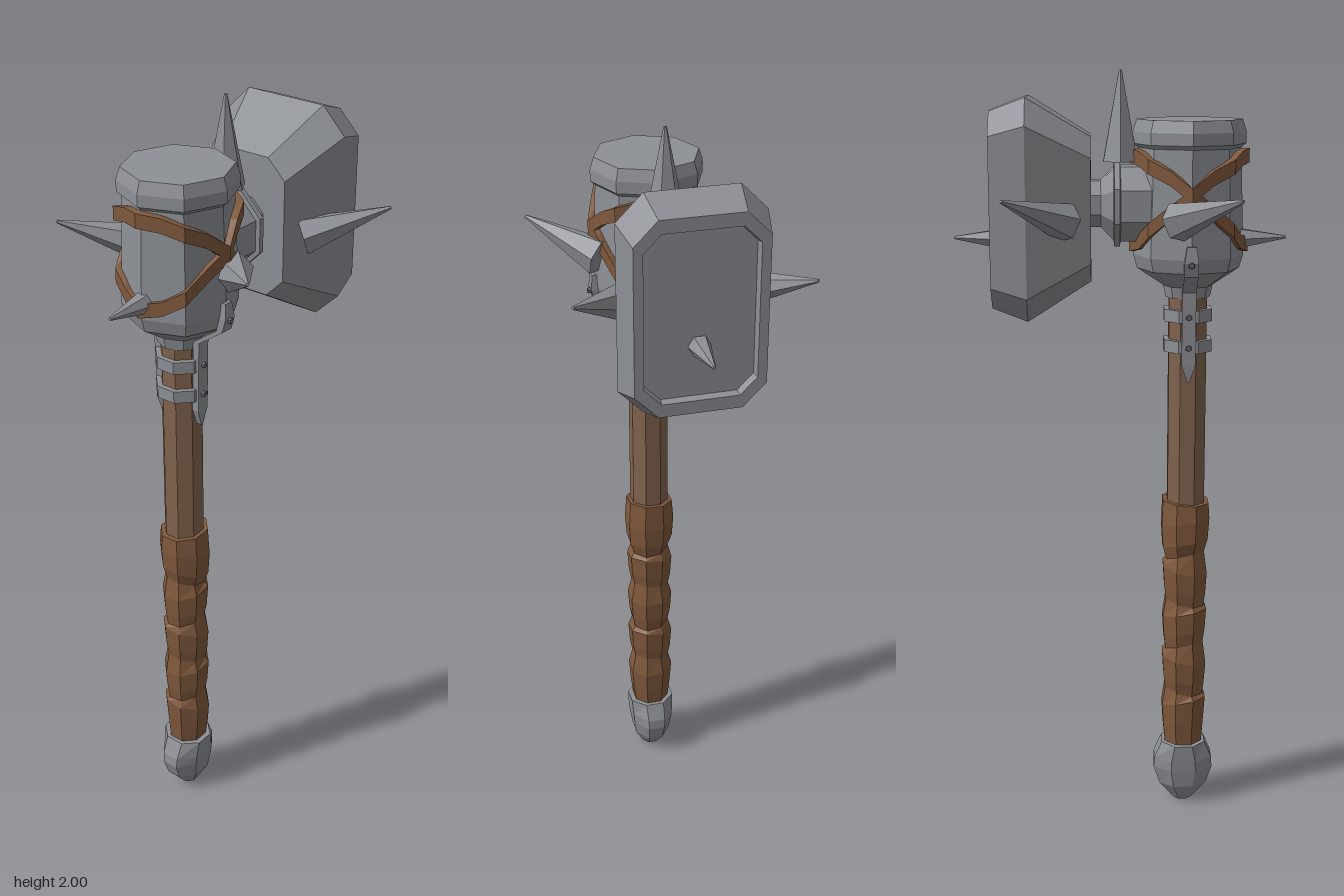
import * as THREE from 'three';

const CX = -0.175; // axis of the handle and head core
const paint = (name, color) => {
  const m = new THREE.MeshStandardMaterial({ color });
  m.name = name;
  return m;
};

// Faceted skin over equal-length rings of [x, y, z], with optional end caps
function loft(rings, caps = true) {
  const pos = [];
  const n = rings[0].length;
  const tri = (...pts) => pts.forEach((p) => pos.push(...p));
  for (let i = 0; i < rings.length - 1; i++) {
    for (let j = 0; j < n; j++) {
      const k = (j + 1) % n;
      const a = rings[i][j], b = rings[i][k], c = rings[i + 1][k], d = rings[i + 1][j];
      tri(a, b, c);
      tri(a, c, d);
    }
  }
  if (caps) {
    const s = rings[0], e = rings[rings.length - 1];
    for (let j = 1; j < n - 1; j++) {
      tri(s[0], s[j + 1], s[j]);
      tri(e[0], e[j], e[j + 1]);
    }
  }
  const g = new THREE.BufferGeometry();
  g.setAttribute('position', new THREE.Float32BufferAttribute(pos, 3));
  g.computeVertexNormals();
  return g;
}

// Octagonal ring around the vertical handle axis; tilt skews it for wrapped leather
function ringY(y, rx, rz = rx, turn = 0, tilt = 0) {
  return Array.from({ length: 8 }, (_, j) => {
    const a = (j + turn) * Math.PI / 4;
    return [CX + Math.sin(a) * rx, y + tilt * Math.sin(a + 0.6), Math.cos(a) * rz];
  });
}

// Octagonal ring around the horizontal neck axis
function ringX(x, r) {
  return Array.from({ length: 8 }, (_, j) => {
    const a = (j + 0.5) * Math.PI / 4;
    return [x, 1.67 + Math.cos(a) * r * 1.08, Math.sin(a) * r * 1.06];
  });
}

// Rectangle with cut corners, for the striking block
function blockRing(x, h, w, c) {
  return [[h, c - w], [h, w - c], [h - c, w], [c - h, w], [-h, w - c], [-h, c - w], [c - h, -w], [h - c, -w]]
    .map(([y, z]) => [x, 1.66 + y, z]);
}

export function createModel() {
  const model = new THREE.Group();
  model.name = 'warHammer';
  const steel = paint('steel', 0x8d9095);
  const darkSteel = paint('darkSteel', 0x62666b);
  const wood = paint('wood', 0x82644e);
  const leather = paint('leather', 0x80593d);

  const add = (name, geometry, material, parent = model) => {
    const mesh = new THREE.Mesh(geometry, material);
    mesh.name = name;
    parent.add(mesh);
    return mesh;
  };

  // Handle
  add('pommel', loft([
    ringY(0, 0.027, 0.027, 0.5), ringY(0.05, 0.07, 0.054, 0.5), ringY(0.1, 0.088, 0.062, 0.5),
    ringY(0.13, 0.086, 0.065, 0.5), ringY(0.178, 0.064, 0.068, 0.5),
  ]), steel);
  add('shaft', loft([ringY(0.16, 0.053, 0.053, 0.5), ringY(1.48, 0.053, 0.053, 0.5)]), wood);

  // Wrapped grip: five slanted bulges
  const grip = [ringY(0.18, 0.055, 0.053, 0.5)];
  for (let i = 0; i < 5; i++) {
    const y = 0.24 + i * 0.13;
    const r = i === 4 ? 0.069 : 0.064;
    const tilt = i % 2 ? 0.014 : -0.014;
    grip.push(
      ringY(y, r - 0.004, r - 0.004, 0.5, tilt),
      ringY(y + 0.06, r, r, 0.5, tilt),
      ringY(y + (i === 4 ? 0.12 : 0.095), i === 4 ? 0.066 : 0.055, i === 4 ? 0.064 : 0.053, 0.5, i === 4 ? 0.006 : -tilt),
    );
  }
  add('grip', loft(grip), leather);

  // Head core
  add('headCore', loft([
    ringY(1.43, 0.058), ringY(1.46, 0.064), ringY(1.505, 0.132), ringY(1.54, 0.142),
    ringY(1.81, 0.132), ringY(1.82, 0.144), ringY(1.85, 0.144), ringY(1.88, 0.134),
  ]), steel);

  // Neck with flange, joining the core to the block
  add('neck', loft([
    ringX(-0.12, 0.094), ringX(0, 0.094), ringX(0.002, 0.105), ringX(0.016, 0.105),
    ringX(0.018, 0.09), ringX(0.05, 0.058), ringX(0.09, 0.058),
  ]), steel);

  // Striking block with a recessed face
  add('strikingBlock', loft([
    blockRing(0.075, 0.18, 0.12, 0.05), blockRing(0.235, 0.276, 0.179, 0.066),
    blockRing(0.325, 0.243, 0.16, 0.058), blockRing(0.325, 0.21, 0.137, 0.042),
    blockRing(0.305, 0.206, 0.133, 0.04),
  ]), steel);

  // Spikes, each from a base point to a tip
  const spike = (name, base, tip, r) => {
    const from = new THREE.Vector3(...base);
    const dir = new THREE.Vector3(...tip).sub(from);
    const g = new THREE.CylinderGeometry(0.004, r, dir.length(), 6, 1).toNonIndexed();
    g.computeVertexNormals();
    const m = add(name, g, steel);
    m.position.copy(from).addScaledVector(dir, 0.5);
    m.quaternion.setFromUnitVectors(new THREE.Vector3(0, 1, 0), dir.normalize());
  };
  spike('topSpike', [0, 1.775, 0], [0, 2, 0], 0.05);
  for (const sx of [-1, 1]) {
    spike('sideSpike', [sx * 0.285, 1.58, 0], [sx * 0.425, 1.583, 0], 0.032);
    for (const sz of [-1, 1]) {
      spike('diagonalSpike', [sx * 0.137, 1.635, sz * 0.132], [sx * 0.287, 1.702, sz * 0.29], 0.05);
    }
  }

  // Two leather straps crossing at the front and back of the core
  for (const side of [-1, 1]) {
    const rings = [];
    for (let i = 0; i <= 16; i++) {
      const a = i * Math.PI / 8;
      const s = Math.sin(a) * side;
      const y = s > 0 ? 1.7 + 0.09 * s ** 0.8 : 1.7 - 0.135 * (-s) ** 1.2;
      const f = i % 2 ? Math.cos(Math.PI / 8) : 1;
      const at = (r, dy) => [CX + Math.sin(a) * r * f, y + dy, Math.cos(a) * r * f];
      rings.push([at(0.153, 0.018), at(0.153, -0.018), at(0.125, -0.018), at(0.125, 0.018)]);
    }
    add('crossStrap', loft(rings, false), leather);
  }

  // Bands round the top of the shaft
  for (const y of [1.305, 1.385]) {
    add('shaftBand', loft([ringY(y - 0.016, 0.067, 0.067, 0.5), ringY(y + 0.016, 0.067, 0.067, 0.5)]), steel);
  }

  // Riveted langets on front and back, following the flare of the core
  for (const turn of [0, Math.PI]) {
    const langet = new THREE.Group();
    langet.name = turn ? 'backLanget' : 'frontLanget';
    langet.position.x = CX;
    langet.rotation.y = turn;
    model.add(langet);
    const path = [[1.575, 0.148, 0.012], [1.535, 0.152, 0.018], [1.5, 0.142, 0.018],
      [1.45, 0.071, 0.018], [1.26, 0.067, 0.018], [1.215, 0.064, 0.003]];
    add('langetStrip', loft(path.map(([y, z, w]) =>
      [[w, y, z], [-w, y, z], [-w, y, z - 0.018], [w, y, z - 0.018]])), steel, langet);
    for (const [y, z] of [[1.53, 0.152], [1.385, 0.07], [1.305, 0.069]]) {
      const g = new THREE.CylinderGeometry(0.007, 0.01, 0.012, 6).toNonIndexed();
      g.computeVertexNormals();
      const rivet = add('rivet', g, darkSteel, langet);
      rivet.rotation.x = Math.PI / 2;
      rivet.position.set(0, y, z);
    }
  }
  return model;
}
